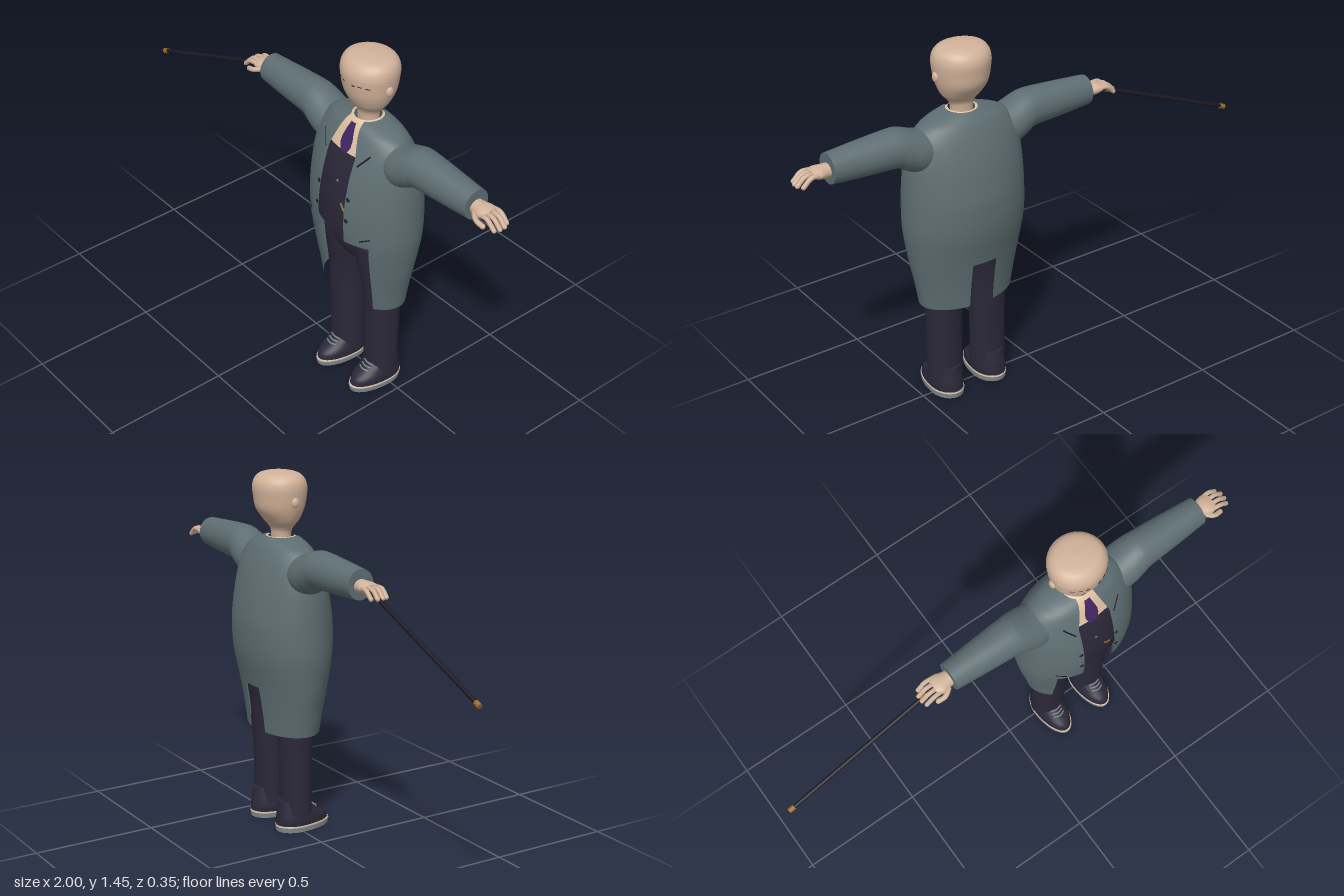
import * as THREE from 'three';
import { mergeGeometries } from 'three/addons/utils/BufferGeometryUtils.js';

const mat = (name, color, side = THREE.FrontSide) => {
  const m = new THREE.MeshStandardMaterial({ color, side });
  m.name = name;
  return m;
};
const V = (x, y, z) => new THREE.Vector3(x, y, z);

// Smooth sample of cross-section rows [y, centreX, centreZ, radiusX, frontZ, backZ]
function sample(rows, s) {
  const i = Math.min(Math.floor(s), rows.length - 2), f = s - i;
  const r = k => rows[Math.max(0, Math.min(rows.length - 1, k))];
  return rows[0].map((_, k) => {
    const [a, b, c, d] = [r(i - 1)[k], r(i)[k], r(i + 1)[k], r(i + 2)[k]];
    const v = b + 0.5 * f * (c - a + f * (2 * a - 5 * b + 4 * c - d + f * (3 * (b - c) + d - a)));
    return k > 2 ? Math.max(0, v) : v;
  });
}
function point(rows, s, t) {
  const [y, cx, cz, rx, zf, zb] = sample(rows, s), c = Math.cos(t);
  return V(cx + rx * Math.sin(t), y, cz + (c > 0 ? zf : zb) * c);
}
// Skin over the rows between two angles (0 = front, growing towards +x)
function loft(rows, { s0 = 0, s1 = rows.length - 1, t0 = () => 0, t1 = () => Math.PI * 2, seg = 40, sub = 4 } = {}) {
  const pos = [], nor = [], idx = [], n = Math.max(1, Math.round((s1 - s0) * sub)), e = 1e-3;
  for (let i = 0; i <= n; i++) {
    const s = s0 + (s1 - s0) * i / n, row = sample(rows, s), a = t0(row), b = t1(row);
    for (let j = 0; j <= seg; j++) {
      const t = a + (b - a) * j / seg, p = point(rows, s, t);
      const du = point(rows, s, t + e).sub(point(rows, s, t - e));
      const dv = point(rows, Math.min(s + e, rows.length - 1), t).sub(point(rows, Math.max(s - e, 0), t));
      const q = du.cross(dv);
      if (q.length() < 1e-12) q.set(0, i > n / 2 ? 1 : -1, 0);
      q.normalize();
      pos.push(p.x, p.y, p.z);
      nor.push(q.x, q.y, q.z);
      if (i < n && j < seg) {
        const k = i * (seg + 1) + j, m = k + seg + 1;
        idx.push(k, k + 1, m, k + 1, m + 1, m);
      }
    }
  }
  const g = new THREE.BufferGeometry();
  g.setAttribute('position', new THREE.Float32BufferAttribute(pos, 3));
  g.setAttribute('normal', new THREE.Float32BufferAttribute(nor, 3));
  g.setIndex(idx);
  return g;
}
// Closed loft with flat ends
function solid(rows, opt) {
  const a = rows[0], b = rows[rows.length - 1], flat = r => [...r.slice(0, 3), 0, 0, 0];
  return mergeGeometries([loft(rows, opt), loft([flat(a), a], { ...opt, sub: 1 }), loft([b, flat(b)], { ...opt, sub: 1 })]);
}
const ring = (y, rx, zf, zb = zf, cx = 0, cz = 0) => [y, cx, cz, rx, zf, zb];

export function createModel() {
  const coatMat = mat('coat cloth', 0x5e6e72, THREE.DoubleSide), cloth = mat('dark cloth', 0x2b2839);
  const skin = mat('skin', 0xd2b39b), shirtMat = mat('shirt', 0xe3c4a6), tieMat = mat('tie', 0x412763, THREE.DoubleSide);
  const soleMat = mat('sole', 0x7f8b8e), gold = mat('gold', 0x9a6a2c), black = mat('black', 0x1b1922);
  const model = new THREE.Group(), body = new THREE.Group();
  body.name = 'figure';
  body.position.x = 0.295;
  model.add(body);
  const add = (name, geo, m, parent = body) => {
    const mesh = new THREE.Mesh(geo, m);
    mesh.name = name;
    parent.add(mesh);
    return mesh;
  };
  const tube = (name, pts, r, m, parent) => add(name, new THREE.TubeGeometry(new THREE.CatmullRomCurve3(pts), 10, r, 8), m, parent);
  const ball = (name, p, r, m, sx = 1, sy = 1, sz = 1) => {
    const b = add(name, new THREE.SphereGeometry(r, 16, 12), m);
    b.position.copy(p);
    b.scale.set(sx, sy, sz);
    return b;
  };

  // Coat: row 3 is the waist, where the front panels step back
  const coat = [
    ring(0.41, 0.197, 0.126, 0.115), ring(0.5, 0.212, 0.14, 0.125), ring(0.6, 0.232, 0.157, 0.142),
    ring(0.73, 0.25, 0.177, 0.17), ring(0.85, 0.25, 0.18, 0.176), ring(0.95, 0.246, 0.166, 0.163),
    ring(1.03, 0.238, 0.145, 0.145), ring(1.1, 0.222, 0.118, 0.12), ring(1.15, 0.18, 0.095, 0.095),
    ring(1.175, 0.12, 0.078, 0.075), ring(1.19, 0.06, 0.062, 0.058)];
  const angle = (x, r) => Math.asin(Math.min(0.95, x / r[3]));
  const gap = r => angle(THREE.MathUtils.mapLinear(Math.max(1.08, r[0]), 1.08, 1.19, 0.07, 0.036), r);
  const tailGap = r => angle(0.145 + (r[0] - 0.41) * 0.0625, r);
  const vent = r => Math.PI - angle(0.052, r);
  add('coatUpper', loft(coat, { s0: 3, t0: gap, t1: r => 2 * Math.PI - gap(r), seg: 64 }), coatMat);
  add('coatSkirt', loft(coat, { s0: 2, s1: 3, t0: tailGap, t1: r => 2 * Math.PI - tailGap(r), seg: 64 }), coatMat);
  add('coatTailLeft', loft(coat, { s1: 2, t0: tailGap, t1: vent }), coatMat);
  add('coatTailRight', loft(coat, { s1: 2, t0: r => 2 * Math.PI - vent(r), t1: r => 2 * Math.PI - tailGap(r) }), coatMat);
  const coatZ = (x, y) => {
    let i = 0;
    while (i < coat.length - 2 && coat[i + 1][0] < y) i++;
    const f = (y - coat[i][0]) / (coat[i + 1][0] - coat[i][0]);
    const at = k => THREE.MathUtils.lerp(coat[i][k], coat[i + 1][k], f);
    return at(4) * Math.sqrt(Math.max(0, 1 - (x / at(3)) ** 2));
  };

  // Waistcoat, shirt and tie follow the coat from inside
  const inside = k => coat.slice(3).map(r => ring(r[0], r[3] * 0.92, r[4] * k, r[5] * k));
  const inner = inside(0.86);
  inner[7][3] = 0.05;
  const vestTop = 3.55;
  add('waistcoat', loft(inner, { s1: vestTop }), cloth);
  add('waistcoatHem', loft([ring(0.73, 0, 0), inner[0]], { sub: 1 }), cloth);
  add('shirt', loft(inner, { s0: vestTop }), shirtMat);
  const tieWidth = r => angle(r[0] < 1.12 ? 0.028 - Math.max(0, 1.095 - r[0]) * 0.5 : Math.max(0.013, 0.028 - (r[0] - 1.12) * 0.28), r);
  add('tie', loft(inside(0.91), { s0: vestTop, s1: 6.1, t0: r => -tieWidth(r), t1: tieWidth, seg: 8, sub: 8 }), tieMat);

  // Coat seams and buttons
  const seam = (name, x0, y0, x1, y1) => tube(name, [0, 0.5, 1].map(f => {
    const x = x0 + (x1 - x0) * f, y = y0 + (y1 - y0) * f;
    return V(x, y, coatZ(x, y) + 0.001);
  }), 0.003, black);
  for (const s of [1, -1]) {
    seam('lapelNotch', s * 0.125, 1.105, s * 0.087, 1.055);
    seam('pocket', s * 0.172, 0.777, s * 0.135, 0.757);
    for (const y of [0.92, 0.83]) ball('coatButton', V(s * 0.08, y, coatZ(0.08, y)), 0.009, black, 1, 1, 0.5);
  }
  const vestZ = (x, y) => coatZ(x / 0.92, y) * 0.86 + 0.002;
  tube('watchChain', [[0.03, 0.875], [0.045, 0.853], [0.062, 0.842]].map(([x, y]) => V(x, y, vestZ(x, y))), 0.004, gold);
  ball('waistcoatButton', V(0, 0.955, vestZ(0, 0.955)), 0.006, gold, 1, 1, 0.5);

  // Head
  add('head', loft([
    ring(1.14, 0.044, 0.036), ring(1.2, 0.046, 0.038, 0.036), ring(1.225, 0.056, 0.046, 0.042),
    ring(1.255, 0.082, 0.068, 0.066), ring(1.3, 0.101, 0.089, 0.098), ring(1.35, 0.11, 0.099, 0.108),
    ring(1.39, 0.112, 0.1, 0.111), ring(1.42, 0.102, 0.086, 0.099), ring(1.438, 0.074, 0.06, 0.07),
    ring(1.446, 0, 0)]), skin);
  for (const s of [1, -1]) {
    ball('ear', V(s * 0.109, 1.333, 0), 0.02, skin, 0.55, 1, 0.8);
    for (const x of [0.025, 0.05, 0.075]) {
      const eye = [-0.007, 0, 0.007].map(d => V(s * (x + d), 1.357 - Math.abs(x - 0.05) * 0.1, 0.0995 * Math.sqrt(1 - ((x + d) / 0.11) ** 2)));
      tube('eyelid', eye, 0.002, black);
    }
  }

  for (const s of [1, -1]) {
    // Sleeve and hand, lofted upright and turned sideways
    const along = (list, y) => solid(list.map(([d, yc, ry, rz]) => ring(d, ry, rz, rz, -s * (yc - y))))
      .rotateZ(-s * Math.PI / 2).translate(0, y, 0);
    add('sleeve', along([[0.12, 1.07, 0.06, 0.07], [0.2, 1.07, 0.083, 0.085], [0.26, 1.093, 0.082, 0.081],
      [0.3, 1.106, 0.075, 0.075], [0.4, 1.106, 0.07, 0.068], [0.5, 1.105, 0.064, 0.06], [0.565, 1.105, 0.059, 0.055]], 1.1), coatMat);
    const hand = new THREE.Group();
    hand.name = s > 0 ? 'leftHand' : 'rightHand';
    body.add(hand);
    add('palm', along([[0.54, 1.1, 0.028, 0.028], [0.575, 1.1, 0.026, 0.032], [0.61, 1.103, 0.022, 0.041],
      [0.635, 1.104, 0.014, 0.036]], 1.1), skin, hand);
    const finger = (name, pts, r) => {
      tube(name, pts, r, skin, hand);
      const tip = add(name + 'Tip', new THREE.SphereGeometry(r, 10, 8), skin, hand);
      tip.position.copy(pts[pts.length - 1]);
    };
    [-0.031, -0.011, 0.01, 0.03].forEach((z, i) => {
      const l = [-0.012, 0, 0, -0.007][i];
      finger('finger', [V(s * 0.615, 1.106, z), V(s * (0.66 + l), 1.105, z * 1.08), V(s * (0.692 + l), 1.078, z * 1.05)], 0.009);
    });
    finger('thumb', [V(s * 0.585, 1.098, 0.03), V(s * 0.615, 1.09, 0.049), V(s * 0.645, 1.08, 0.046)], 0.01);

    // Trouser leg
    const leg = (y, inX, outX, z) => ring(y, (outX - inX) / 2, z, z, s * (inX + outX) / 2);
    add('trouserLeg', solid([leg(0.07, 0.027, 0.173, 0.06), leg(0.25, 0.027, 0.172, 0.064), leg(0.4, 0.024, 0.174, 0.071),
      leg(0.5, 0.014, 0.176, 0.082), leg(0.58, 0, 0.178, 0.097), leg(0.68, -0.01, 0.178, 0.112)]), cloth);

    // Shoe
    const shoe = new THREE.Group();
    shoe.name = 'shoe';
    shoe.position.x = s * 0.1;
    body.add(shoe);
    add('sole', solid([ring(0, 0.064, 0.148, 0.085), ring(0.02, 0.066, 0.152, 0.088)]), soleMat, shoe);
    add('welt', solid([ring(0.02, 0.065, 0.15, 0.087), ring(0.026, 0.065, 0.149, 0.086)]), shirtMat, shoe);
    add('shoeUpper', solid([ring(0.026, 0.063, 0.145, 0.085), ring(0.05, 0.064, 0.134, 0.084), ring(0.075, 0.06, 0.098, 0.082),
      ring(0.1, 0.056, 0.062, 0.078), ring(0.128, 0.05, 0.03, 0.075)]), cloth, shoe);
    for (const [y, z] of [[0.079, 0.092], [0.088, 0.079], [0.097, 0.066]])
      tube('lace', [V(-0.025, y, z * 0.9), V(0, y + 0.002, z), V(0.025, y, z * 0.9)], 0.003, soleMat, shoe);
  }

  // Seat of the trousers
  add('trouserSeat', solid([ring(0.555, 0.05, 0.04), ring(0.6, 0.13, 0.09), ring(0.66, 0.176, 0.117), ring(0.76, 0.18, 0.13)]), cloth);

  // Cane
  const cane = new THREE.Group();
  cane.name = 'cane';
  model.add(cane);
  const tip = V(-0.996, 0.832, 0), top = V(-0.32, 1.1, 0), dir = top.clone().sub(tip);
  const rod = (name, a, b, r, m) => {
    const c = add(name, new THREE.CylinderGeometry(r, r, dir.length() * (b - a), 14), m, cane);
    c.position.copy(tip).addScaledVector(dir, (a + b) / 2);
    c.quaternion.setFromUnitVectors(V(0, 1, 0), dir.clone().normalize());
  };
  rod('caneShaft', 0.02, 0.9, 0.0085, black);
  rod('caneTip', 0, 0.035, 0.0105, gold);
  rod('caneCollar', 0.89, 0.93, 0.011, gold);
  rod('caneGrip', 0.93, 1, 0.01, black);
  return model;
}
